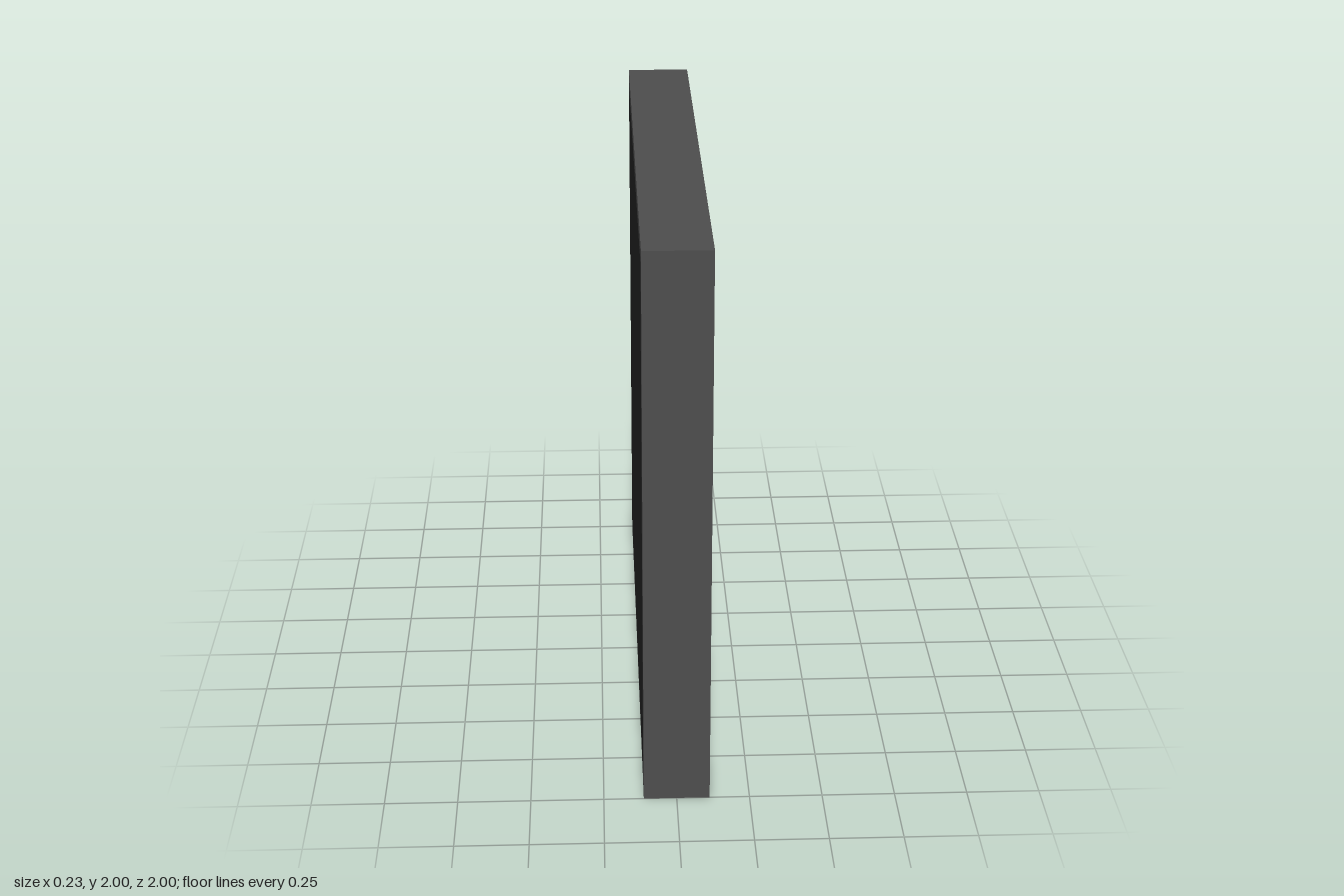
import * as THREE from 'three';
import { mergeGeometries } from 'three/addons/utils/BufferGeometryUtils.js';

// Extrude a shape drawn as (-z, y) along x, from x0 to x1
function extrudeX(shape, x0, x1) {
  const g = new THREE.ExtrudeGeometry(shape, { depth: x1 - x0, bevelEnabled: false });
  return g.rotateY(Math.PI / 2).translate(x0, 0, 0);
}

// Regular polygon outline with a corner at the top
function polygon(sides, radius, turn = Math.PI / 2) {
  return Array.from({ length: sides }, (_, i) => {
    const a = turn + (i * 2 * Math.PI) / sides;
    return new THREE.Vector2(radius * Math.cos(a), radius * Math.sin(a));
  });
}

function square(half) {
  return polygon(4, half * Math.SQRT2, Math.PI / 4);
}

export function createModel() {
  const frameGrey = new THREE.MeshStandardMaterial({ color: 0x4d4d4d });
  frameGrey.name = 'frameGrey';
  const panelBlack = new THREE.MeshStandardMaterial({ color: 0x222222 });
  panelBlack.name = 'panelBlack';

  const group = new THREE.Group();
  group.name = 'honeycombFilter';
  const add = (name, geometry, material) => {
    const mesh = new THREE.Mesh(geometry, material);
    mesh.name = name;
    group.add(mesh);
    return mesh;
  };

  const halfDepth = 0.113;

  // Square outer frame
  const frameShape = new THREE.Shape(square(1));
  frameShape.holes.push(new THREE.Path(square(0.89)));
  add('frame', extrudeX(frameShape, -halfDepth, halfDepth), frameGrey).position.y = 1;

  // Dark backing sheet, lapping a little over the back of the frame
  const back = new THREE.BoxGeometry(0.014, 1.89, 1.89);
  add('backPanel', back, panelBlack).position.set(-halfDepth + 0.006, 1, 0);

  // Hexagonal tubes in staggered columns; the outermost ones run into the frame
  const cell = new THREE.Shape(polygon(6, 0.0735));
  cell.holes.push(new THREE.Path(polygon(6, 0.063)));
  const tube = extrudeX(cell, -0.104, 0.045);
  const tubes = [];
  for (let col = 0; col < 14; col++) {
    for (let row = 0; row < 12; row++) {
      const y = 1.818 - row * 0.1468 - (col % 2) * 0.0734;
      const z = 0.797 - col * 0.1274;
      tubes.push(tube.clone().translate(0, y, z));
    }
  }
  add('honeycomb', mergeGeometries(tubes), frameGrey);

  return group;
}
